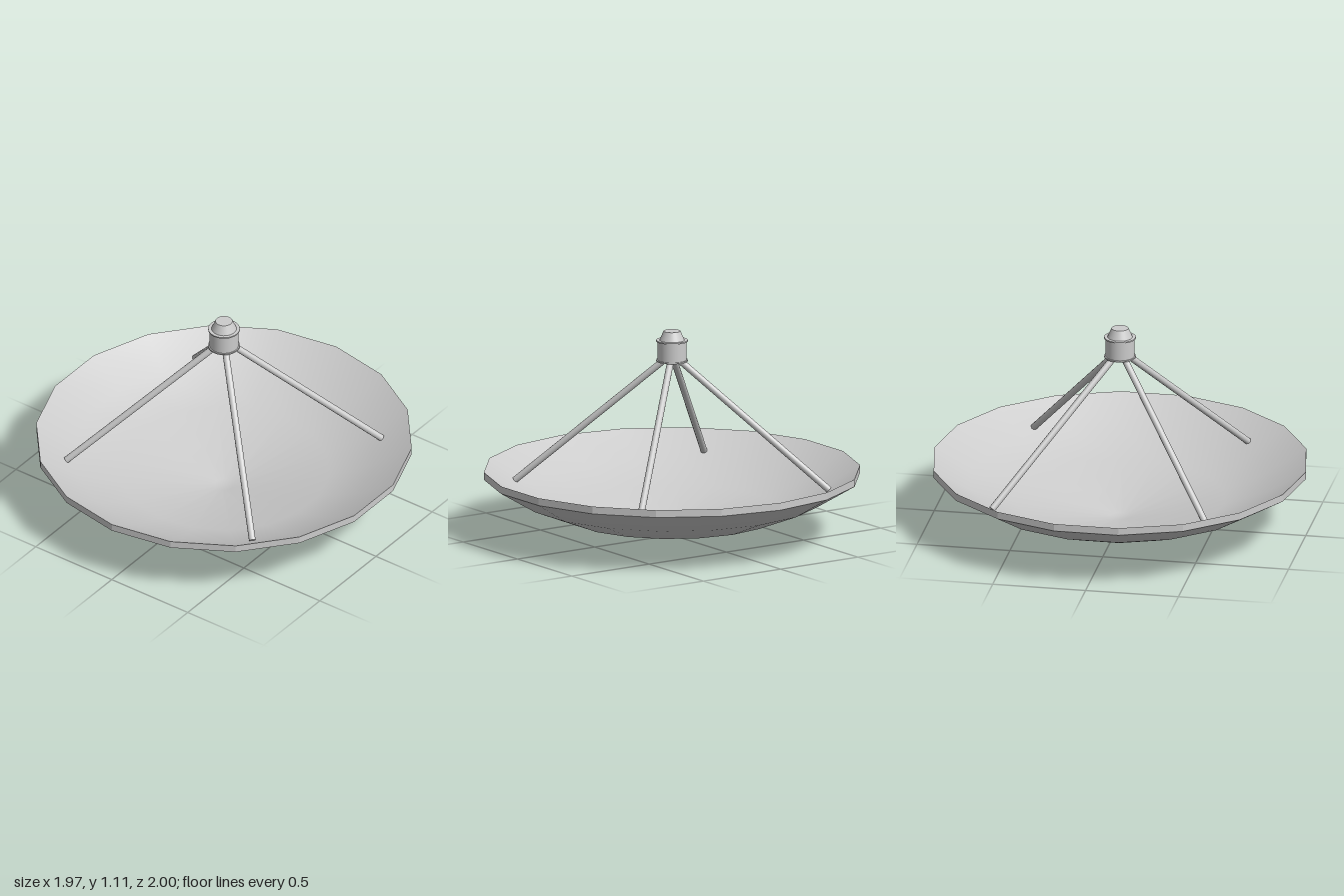
import * as THREE from 'three';

const SIDES = 18;

const smooth = new THREE.MeshStandardMaterial({ color: 0xcccccc });
const faceted = new THREE.MeshStandardMaterial({ color: 0xcccccc, flatShading: true });

function part(name, geometry, material = smooth) {
  const mesh = new THREE.Mesh(geometry, material);
  mesh.name = name;
  return mesh;
}

// Surface of revolution from [radius, height] pairs
function lathe(points, sides) {
  return new THREE.LatheGeometry(points.map(([r, y]) => new THREE.Vector2(r, y)), sides);
}

// Round bar between two points
function bar(name, from, to, radius) {
  const direction = to.clone().sub(from);
  const mesh = part(name, new THREE.CylinderGeometry(radius, radius, direction.length(), 12));
  mesh.position.copy(from).add(to).multiplyScalar(0.5);
  mesh.quaternion.setFromUnitVectors(new THREE.Vector3(0, 1, 0), direction.normalize());
  return mesh;
}

function createDish() {
  const dish = new THREE.Group();
  dish.name = 'dish';
  const profile = [[0.052, 0], [0.56, 0.105], [0.8, 0.2], [1, 0.32]];
  const thickness = 0.04;
  const inner = profile.map(([r, y]) => [r, y + thickness]).reverse();
  dish.add(
    part('dishBack', lathe(profile, SIDES)),
    part('dishBase', lathe([[0, 0], [0.052, 0]], SIDES)),
    part('dishRim', lathe([[1, 0.32], [1, 0.36]], SIDES), faceted),
    part('dishFace', lathe([...inner, [0, thickness]], SIDES)),
  );
  return dish;
}

function createReceiver() {
  const receiver = new THREE.Group();
  receiver.name = 'receiver';
  const cylinder = (name, top, bottom, y0, y1) => {
    const mesh = part(name, new THREE.CylinderGeometry(top, bottom, y1 - y0, 32));
    mesh.position.y = (y0 + y1) / 2;
    receiver.add(mesh);
  };
  cylinder('receiverBody', 0.077, 0.077, 0.947, 1.056);
  cylinder('lowerFlange', 0.084, 0.084, 0.945, 0.952);
  cylinder('upperFlange', 0.084, 0.084, 1.052, 1.059);
  cylinder('receiverCap', 0.045, 0.068, 1.055, 1.108);
  return receiver;
}

export function createModel() {
  const model = new THREE.Group();
  model.name = 'dishAntenna';
  model.add(createDish(), createReceiver());

  // Four struts from the dish face up to the receiver
  for (const sx of [-1, 1]) {
    for (const sz of [-1, 1]) {
      const foot = new THREE.Vector3(sx * 0.612, 0.272, sz * 0.576);
      const head = new THREE.Vector3(sx * 0.025, 0.955, sz * 0.024);
      model.add(bar('strut', foot, head, 0.018));
    }
  }
  return model;
}
